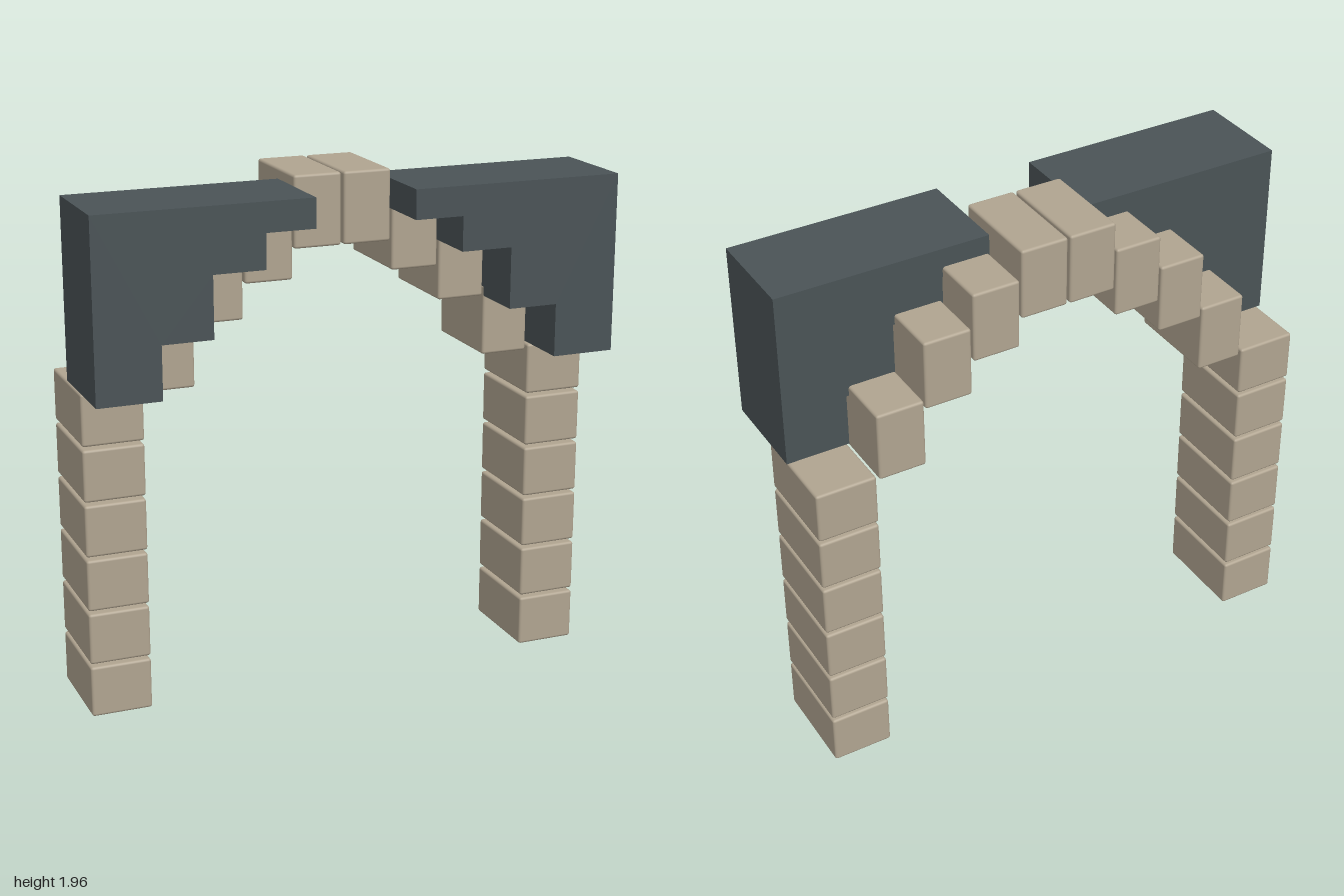
import * as THREE from 'three';
import { RoundedBoxGeometry } from 'three/addons/geometries/RoundedBoxGeometry.js';

export function createModel() {
  const group = new THREE.Group();
  const stone = new THREE.MeshStandardMaterial({ name: 'tan stone', color: 0xb0a490 });
  const slate = new THREE.MeshStandardMaterial({ name: 'dark slate', color: 0x4a5356 });

  const depth = 0.373, blockZ = -0.105, shiftX = -0.003;
  const pillarGeometry = new RoundedBoxGeometry(0.23, 0.196, depth, 2, 0.01);
  const archGeometry = new RoundedBoxGeometry(0.182, 0.267, depth, 2, 0.01);

  const addBlock = (name, geometry, x, y) => {
    const mesh = new THREE.Mesh(geometry, stone);
    mesh.name = name;
    mesh.position.set(x + shiftX, y, blockZ);
    group.add(mesh);
  };

  // Stepped spandrel outline, on the +x side
  const outline = [
    [1, 1.25], [1, 1.92], [0.19, 1.92], [0.19, 1.81], [0.375, 1.81],
    [0.375, 1.68], [0.57, 1.68], [0.57, 1.45], [0.76, 1.45], [0.76, 1.25],
  ];

  for (const [side, label] of [[1, 'left'], [-1, 'right']]) {
    // Pillar of stacked blocks
    for (let i = 0; i < 6; i++) {
      addBlock(`${label}PillarBlock${i + 1}`, pillarGeometry, side * 0.879, 0.098 + i * 0.209);
    }
    // Arch blocks climbing to the crown
    [[0.662, 1.355], [0.475, 1.585], [0.285, 1.715], [0.096, 1.826]].forEach(([x, y], i) => {
      addBlock(`${label}ArchBlock${i + 1}`, archGeometry, side * x, y);
    });
    // Stepped wall piece in front of the arch
    const shape = new THREE.Shape(outline.map(([x, y]) => new THREE.Vector2(side * x, y)));
    const wall = new THREE.Mesh(
      new THREE.ExtrudeGeometry(shape, { depth: 0.375, bevelEnabled: false }), slate);
    wall.name = `${label}SteppedWall`;
    wall.position.z = -0.081;
    group.add(wall);
  }
  return group;
}
